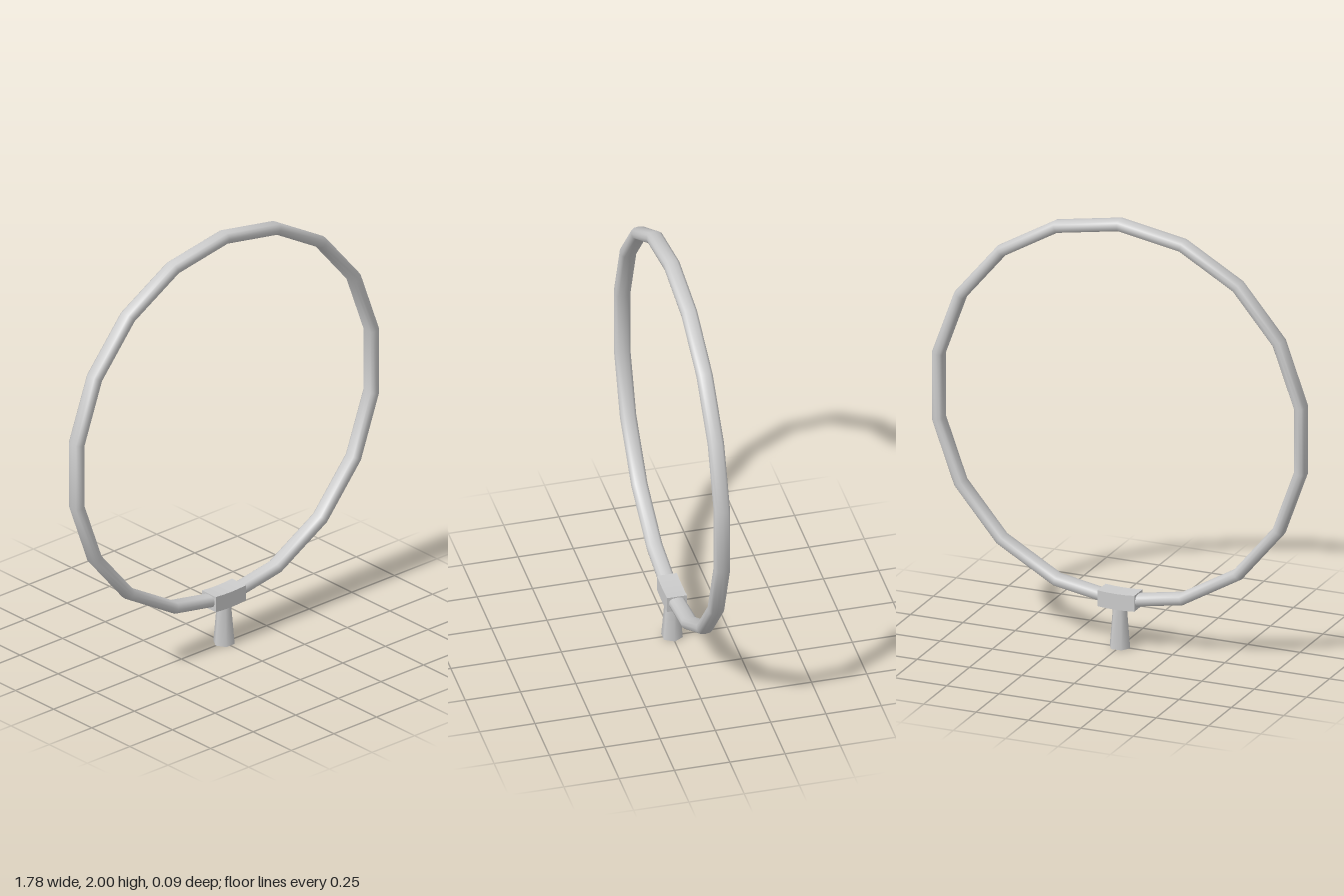
import * as THREE from 'three';
import { mergeVertices } from 'three/addons/utils/BufferGeometryUtils.js';

const RING_Y = 1.095, RING_R = 0.8775;

function add(group, name, geometry, flatShading = false) {
  const mesh = new THREE.Mesh(geometry, new THREE.MeshStandardMaterial({ color: 0xcccccc, flatShading }));
  mesh.name = name;
  group.add(mesh);
  return mesh;
}

// 18-sided hoop with a softly squared tube, wider in z than radially
function hoopGeometry() {
  let g = new THREE.TorusGeometry(RING_R, 0.1, 12, 18);
  const p = g.attributes.position;
  const soft = (c) => Math.sign(c) * Math.pow(Math.abs(c), 0.75);
  for (let i = 0; i < p.count; i++) {
    const x = p.getX(i), y = p.getY(i), r = Math.hypot(x, y);
    const k = (RING_R + 0.0275 * soft((r - RING_R) / 0.1)) / r;
    p.setXYZ(i, x * k, y * k, 0.037 * soft(p.getZ(i) / 0.1));
  }
  g.deleteAttribute('uv');
  g.deleteAttribute('normal');
  g = mergeVertices(g, 1e-5);
  g.computeVertexNormals();
  return g.rotateZ(Math.PI / 2);
}

// Block bent to follow the hoop
function clampGeometry() {
  const g = new THREE.BoxGeometry(0.176, 0.074, 0.09, 4, 1, 1);
  const p = g.attributes.position;
  for (let i = 0; i < p.count; i++) {
    const x = p.getX(i);
    p.setY(i, p.getY(i) + RING_R - Math.sqrt(RING_R ** 2 - x * x));
  }
  g.computeVertexNormals();
  return g;
}

export function createModel() {
  const group = new THREE.Group();
  group.name = 'hoopOnHandle';

  add(group, 'hoop', hoopGeometry()).position.y = RING_Y;
  add(group, 'clamp', clampGeometry(), true).position.y = 0.224;

  // Tapered six-sided handle with corners along x
  const handle = add(group, 'handle', new THREE.CylinderGeometry(0.032, 0.049, 0.2, 6).rotateY(Math.PI / 6));
  handle.position.y = 0.1;

  return group;
}
